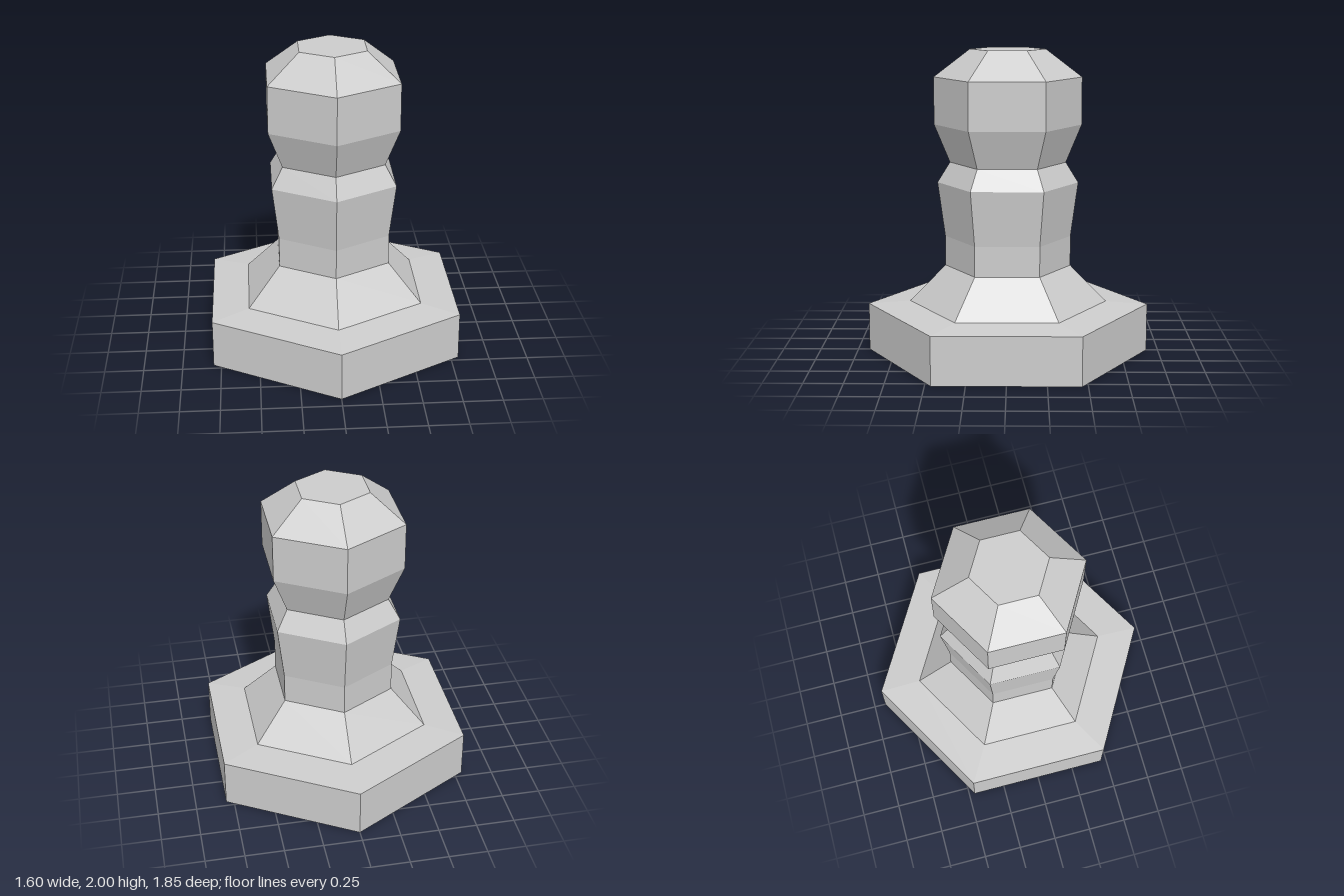
import * as THREE from 'three';

// Six-sided turned section from [radius, height] pairs, listed bottom to top
function hexTurned(name, profile, material) {
  const points = profile.map(([r, y]) => new THREE.Vector2(r, y));
  const geometry = new THREE.LatheGeometry(points, 6).toNonIndexed();
  geometry.computeVertexNormals(); // unshared corners give flat facets
  const mesh = new THREE.Mesh(geometry, material);
  mesh.name = name;
  return mesh;
}

export function createModel() {
  const stone = new THREE.MeshStandardMaterial({ color: 0xcccccc });
  stone.name = 'light grey';

  const model = new THREE.Group();
  model.name = 'pawn';
  model.add(
    // Broad foot with closed underside and slightly sloping top
    hexTurned('base', [[0, 0], [0.924, 0], [0.924, 0.315], [0.649, 0.335]], stone),
    // Sloping skirt up to the stem
    hexTurned('skirt', [[0.649, 0.335], [0.412, 0.578]], stone),
    // Stem flaring into a collar, then pinching to the neck
    hexTurned('stem', [[0.412, 0.578], [0.412, 0.775], [0.46, 1.132], [0.378, 1.265]], stone),
    // Faceted head with a flat closed top
    hexTurned('head', [[0.378, 1.265], [0.48, 1.512], [0.48, 1.82], [0.245, 2], [0, 2]], stone)
  );
  return model;
}
